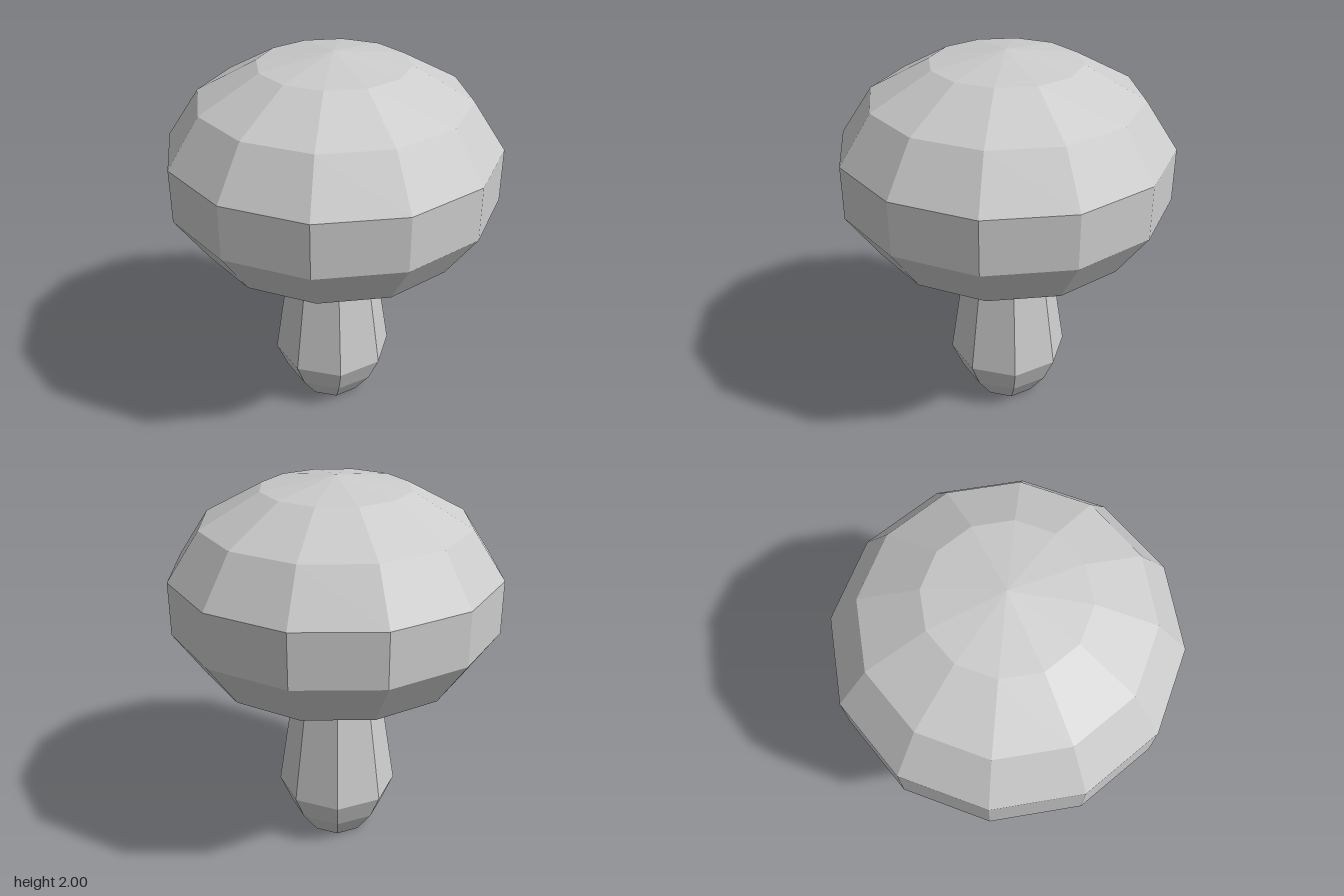
import * as THREE from 'three';

// Faceted solid of revolution from [radius, height] pairs, listed bottom to top
function turned(name, sides, profile) {
  const points = profile.map(([r, y]) => new THREE.Vector2(r, y));
  const material = new THREE.MeshStandardMaterial({ color: 0xcccccc, flatShading: true });
  const mesh = new THREE.Mesh(new THREE.LatheGeometry(points, sides), material);
  mesh.name = name;
  return mesh;
}

export function createModel() {
  const group = new THREE.Group();
  group.name = 'mushroom';

  // Twelve-sided domed cap with a flat underside
  const cap = turned('cap', 12, [
    [0, 1.015], [0.68, 1.015], [0.845, 1.255], [0.845, 1.53],
    [0.68, 1.775], [0.377, 1.94], [0, 2],
  ]);

  // Eight-sided stem, bulging near the foot and set very slightly off centre
  const stem = turned('stem', 8, [
    [0, 0], [0.163, 0], [0.26, 0.135], [0.32, 0.275], [0.207, 1.015], [0, 1.02],
  ]);
  stem.position.set(0.004, 0, -0.012);

  group.add(cap, stem);
  return group;
}
